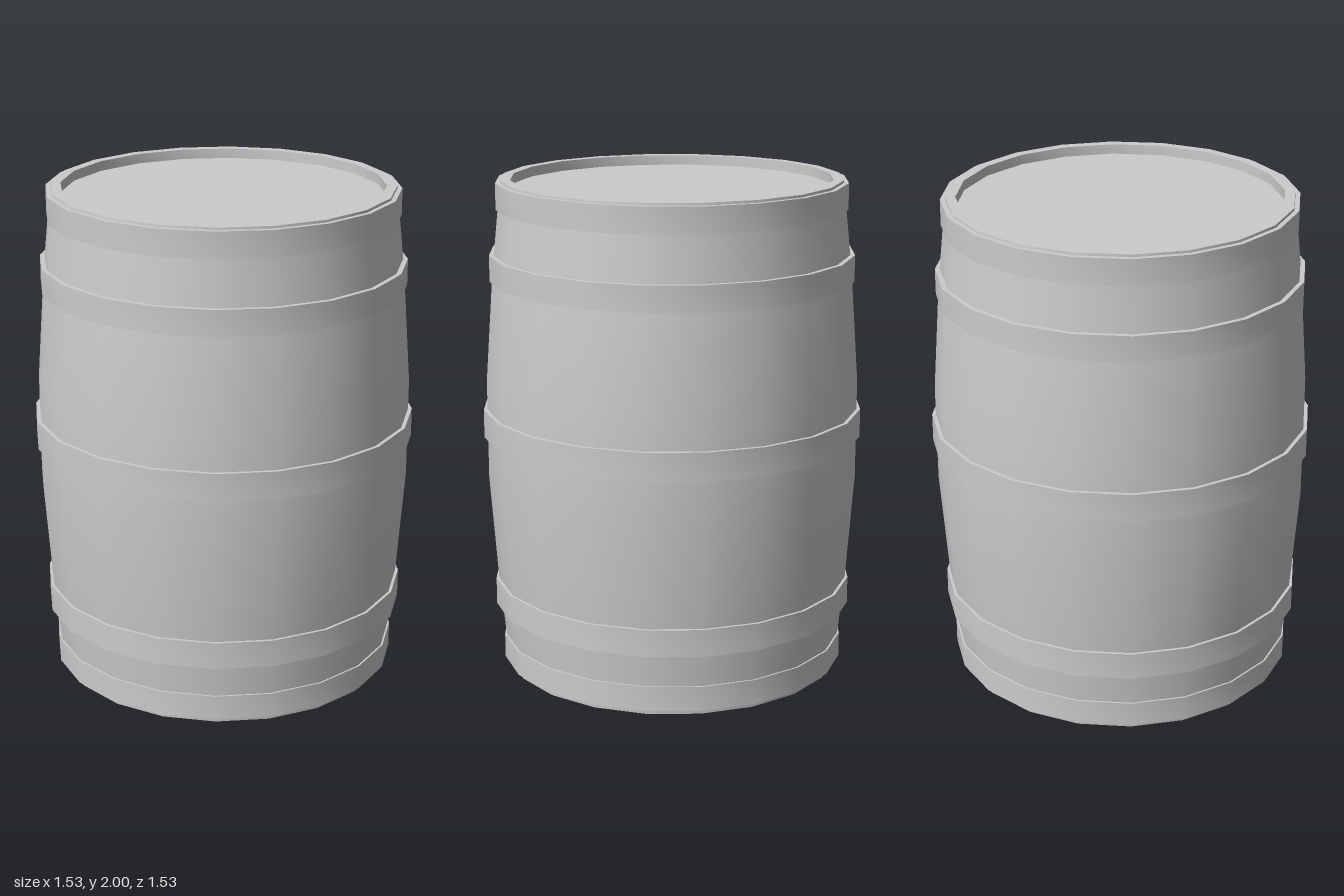
import * as THREE from 'three';
import { toCreasedNormals } from 'three/addons/utils/BufferGeometryUtils.js';

const SIDES = 20;

export function createModel() {
  const group = new THREE.Group();
  group.name = 'barrel';
  const material = new THREE.MeshStandardMaterial({ color: 0xcccccc });

  const add = (name, geometry) => {
    const mesh = new THREE.Mesh(geometry, material);
    mesh.name = name;
    group.add(mesh);
    return mesh;
  };
  // Round part from [radius, height] points, smooth around and sharp at corners
  const turn = (profile) => toCreasedNormals(
    new THREE.LatheGeometry(profile.map(([r, y]) => new THREE.Vector2(r, y)), SIDES), 0.6);

  // Bulging wall with a raised rim at both ends
  add('staves', turn([
    [0.64, 0.04], [0.64, 0], [0.68, 0], [0.718, 0.36], [0.75, 0.8],
    [0.75, 1.2], [0.718, 1.64], [0.68, 2], [0.64, 2], [0.64, 1.96],
  ]));

  // Recessed end discs
  for (const [name, y, tilt] of [['topLid', 1.96, -1], ['bottomLid', 0.04, 1]]) {
    const lid = add(name, new THREE.CircleGeometry(0.64, SIDES));
    lid.rotation.x = tilt * Math.PI / 2;
    lid.position.y = y;
  }

  // Straight hoops: name, radius, bottom, top
  const hoops = [
    ['bottomHoop', 0.70, 0.02, 0.12],
    ['lowerHoop', 0.73, 0.255, 0.365],
    ['middleHoop', 0.765, 0.965, 1.08],
    ['upperHoop', 0.73, 1.6, 1.705],
    ['topHoop', 0.70, 1.885, 1.99],
  ];
  for (const [name, r, low, high] of hoops) {
    add(name, turn([[r - 0.04, low], [r, low], [r, high], [r - 0.04, high]]));
  }
  return group;
}
